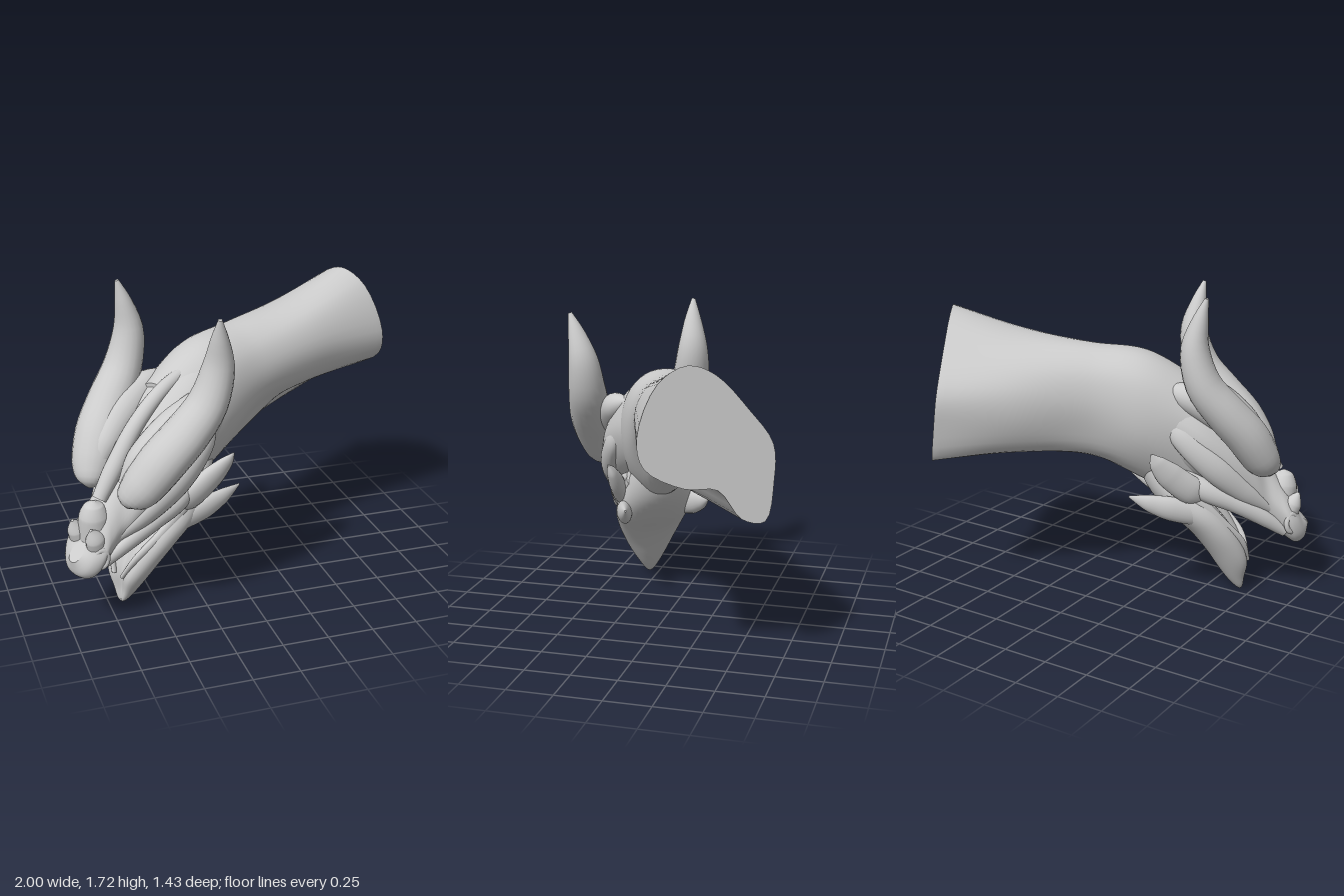
import * as THREE from 'three';

const mat = new THREE.MeshStandardMaterial({ color: 0xcccccc, side: THREE.DoubleSide });
const V = (x, y, z) => new THREE.Vector3(x, y, z);

// Smooth closed skin over rings of points, with capped ends
function skin(name, rings) {
  const n = rings[0].length, pos = [], idx = [];
  rings.forEach(r => r.forEach(p => pos.push(p.x, p.y, p.z)));
  for (let i = 0; i < rings.length - 1; i++) for (let j = 0; j < n; j++) {
    const a = i * n + j, b = i * n + (j + 1) % n, c = a + n, d = b + n;
    idx.push(a, b, c, b, d, c);
  }
  [0, rings.length - 1].forEach((r, end) => {
    const mid = rings[r].reduce((s, p) => s.add(p), V(0, 0, 0)).divideScalar(n);
    const base = pos.length / 3;
    pos.push(mid.x, mid.y, mid.z);
    rings[r].forEach(p => pos.push(p.x, p.y, p.z));
    for (let j = 0; j < n; j++) {
      const a = base + 1 + j, b = base + 1 + (j + 1) % n;
      end ? idx.push(base, a, b) : idx.push(base, b, a);
    }
  });
  const g = new THREE.BufferGeometry();
  g.setAttribute('position', new THREE.Float32BufferAttribute(pos, 3));
  g.setIndex(idx);
  g.computeVertexNormals();
  const m = new THREE.Mesh(g, mat);
  m.name = name;
  return m;
}

// Smooth interpolation between a few cross-sections
function loft(name, sections, steps = 40, around = 48) {
  const rings = sections.map(s => new THREE.CatmullRomCurve3(s, true));
  const dense = rings.map(c => Array.from({ length: around }, (_, j) => c.getPoint(j / around)));
  const rails = Array.from({ length: around }, (_, j) => new THREE.CatmullRomCurve3(dense.map(r => r[j])));
  return skin(name, Array.from({ length: steps + 1 }, (_, i) => rails.map(c => c.getPoint(i / steps))));
}

// Curved, tapering horn: points are [x, y, z, radius]; flat squeezes it sideways
function taper(name, pts, side = 1, flat = 1, steps = 30, around = 20) {
  const path = new THREE.CatmullRomCurve3(pts.map(p => V(p[0] * side, p[1], p[2])));
  const radius = new THREE.CatmullRomCurve3(pts.map(p => V(p[3], 0, 0)));
  const rings = [];
  for (let i = 0; i <= steps; i++) {
    const t = i / steps, c = path.getPoint(t), T = path.getTangent(t);
    const N = V(1, 0, 0).addScaledVector(T, -T.x).normalize(), B = T.clone().cross(N);
    const r = Math.max(radius.getPoint(t).x, 0.003);
    rings.push(Array.from({ length: around }, (_, j) => {
      const a = j / around * Math.PI * 2;
      return c.clone().addScaledVector(N, r * flat * Math.cos(a)).addScaledVector(B, r * Math.sin(a));
    }));
  }
  return skin(name, rings);
}

const circle = f => Array.from({ length: 16 }, (_, j) => f(Math.cos(j / 8 * Math.PI), Math.sin(j / 8 * Math.PI)));

export function createModel() {
  const model = new THREE.Group();
  model.name = 'hornedBeastHead';
  const body = new THREE.Group();
  body.name = 'headAndNeck';
  body.rotation.y = -1.097;
  model.add(body);

  // Neck, twisting towards the slanted cut end with a throat fold below
  const neck = [
    [-0.915, [[.36, 1.25], [.25, 1.5], [.1, 1.58], [-.04, 1.53], [-.21, 1.35], [-.33, 1.18], [-.33, 1], [-.28, .8], [-.16, .82], [-.04, .97], [.13, .99], [.33, 1.1]]],
    [-0.5, [[.29, 1.25], [.22, 1.41], [.08, 1.465], [-.08, 1.43], [-.22, 1.32], [-.29, 1.18], [-.28, 1], [-.2, .84], [-.06, .82], [.05, .96], [.14, .985], [.25, 1.08]]],
    [-0.1, [[.23, 1.2], [.18, 1.32], [.07, 1.395], [-.07, 1.395], [-.18, 1.3], [-.22, 1.15], [-.2, .98], [-.14, .83], [-.02, .78], [.1, .84], [.16, .95], [.22, 1.06]]],
    [0.2, [[.23, 1.12], [.18, 1.27], [.07, 1.36], [-.07, 1.36], [-.18, 1.27], [-.23, 1.12], [-.22, .92], [-.14, .74], [-.05, .65], [.05, .65], [.14, .74], [.22, .92]]],
    [0.5, [[.2, 1], [.15, 1.12], [.05, 1.2], [-.05, 1.2], [-.15, 1.12], [-.2, 1], [-.18, .82], [-.12, .64], [-.04, .54], [.04, .54], [.12, .64], [.18, .82]]],
  ];
  body.add(loft('neck', neck.map(([u, s], i) =>
    s.map(([x, y]) => V(x, y, i ? u : u - .07 * x + .12 * (y - 1.2))))));

  // The head is turned and rolled slightly to one side
  const head = new THREE.Group();
  head.name = 'head';
  head.position.set(-.064, .003, 0);
  head.rotation.set(0, .04, -.08);
  body.add(head);

  // Skull and snout: [z, top, bottom, half width]
  const skull = [
    [.05, 1.25, .85, .1], [.26, 1.31, .76, .215], [.48, 1.23, .64, .265], [.66, 1.09, .54, .235], [.8, .93, .45, .175],
    [.88, .79, .38, .135], [.95, .7, .32, .135], [1.01, .62, .29, .14], [1.055, .56, .32, .105], [1.075, .49, .4, .04],
  ];
  head.add(loft('skull', skull.map(([z, top, bot, w]) => circle((c, s) =>
    V(w * Math.sign(c) * Math.abs(c) ** .8 * (1 - .2 * Math.max(s, 0)), (top + bot) / 2 + (top - bot) / 2 * s, z - .04 * s)))));

  // Lower jaw, hanging open, hollowed in front: [y, z, half depth, half width]
  const jaw = [
    [.98, .2, .04, .05], [.82, .25, .1, .13], [.65, .345, .14, .19], [.5, .48, .15, .225], [.38, .59, .135, .2], [.26, .67, .12, .155],
    [.16, .715, .1, .11], [.07, .73, .055, .06], [.015, .745, .022, .025], [0, .746, .005, .006],
  ];
  head.add(loft('lowerJaw', jaw.map(([y, z, d, w]) => circle((c, s) =>
    V(w * c, y + .25 * d * s, z + d * (s > 0 ? s * (.35 + .75 * Math.abs(c)) : s))))));

  // Forehead ridge and nose bump
  head.add(taper('foreheadRidge', [[0, 1.29, .2, .02], [0, 1.2, .48, .04], [0, 1.05, .68, .045], [0, .85, .83, .05], [0, .7, .93, .04]]));
  head.add(taper('noseBump', [[0, .5, .95, .09], [0, .62, .965, .08], [0, .68, .97, .05], [0, .7, .97, .01]]));

  for (const side of [1, -1]) {
    const add = (name, pts, flat) => {
      const mesh = taper(name, pts, side, flat);
      head.add(mesh);
      return mesh;
    };
    // Great horn, swelling into the brow
    const horn = add('horn', [[.14, .7, .88, .015], [.15, .745, .87, .075], [.185, .82, .825, .105], [.235, .95, .74, .115], [.28, 1.08, .625, .11], [.31, 1.23, .51, .098], [.325, 1.42, .46, .078], [.345, 1.58, .485, .044], [.365, 1.695, .515, .01]], 1.12);
    horn.position.x = .018;
    // Brow fold joining horn and skull
    add('brow', [[.1, .8, .86, .03], [.13, .92, .77, .08], [.17, 1.05, .6, .1], [.18, 1.14, .43, .08], [.14, 1.19, .28, .02]]);
    // Cheek ridges
    add('cheekRidge', [[.1, .49, .91, .02], [.165, .61, .75, .06], [.22, .77, .57, .08], [.225, .93, .4, .065], [.17, 1.07, .28, .02]], .7);
    add('lipRidge', [[.09, .37, .98, .03], [.13, .46, .85, .045], [.17, .55, .69, .05], [.185, .63, .52, .06], [.15, .74, .34, .03]], .8);
    // Spikes behind cheek and jaw
    add('cheekSpike', [[.15, .56, .56, .03], [.2, .63, .45, .08], [.24, .72, .34, .075], [.275, .8, .27, .045], [.295, .85, .24, .006]], .6);
    add('jawSpike', [[.12, .45, .62, .03], [.17, .48, .5, .06], [.205, .52, .36, .068], [.23, .56, .23, .048], [.245, .6, .12, .006]], .65);
    // Jaw rim rising to the hinge
    add('jawRim', [[.03, .18, .78, .015], [.09, .3, .74, .025], [.15, .43, .62, .035], [.18, .58, .47, .045], [.16, .72, .32, .03]], .7);
    // Small nose spike
    add('noseSpike', [[.06, .44, .98, .06], [.07, .53, 1.02, .05], [.07, .59, 1.05, .008]]);

    // Nostril rim
    const nostril = new THREE.Mesh(new THREE.TorusGeometry(.04, .016, 10, 24), mat);
    nostril.name = 'nostril';
    nostril.position.set(side * .115, .43, 1.01);
    nostril.rotation.y = side * .95;
    nostril.scale.set(.8, 1.2, 1);
    head.add(nostril);
  }
  return model;
}
